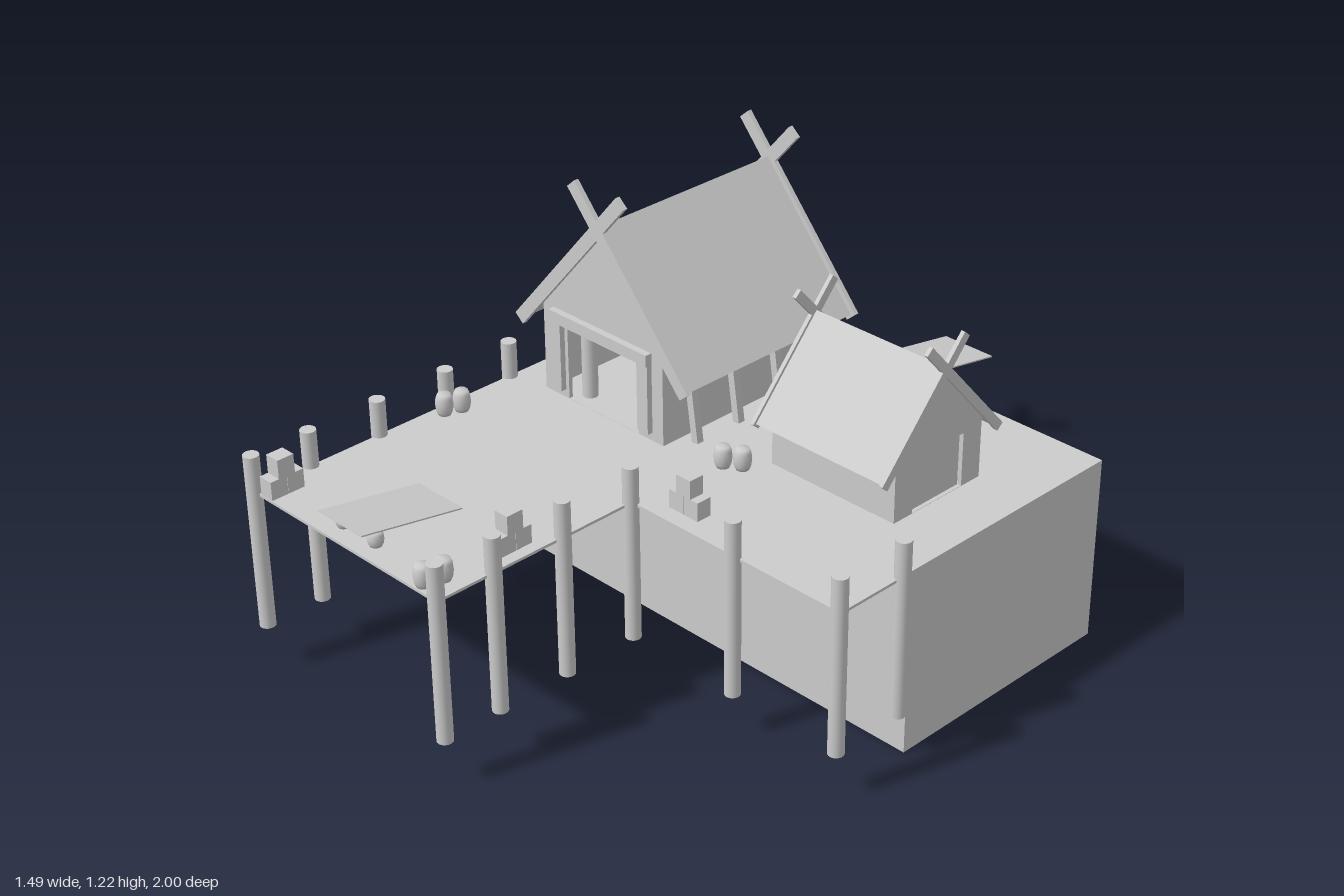
import * as THREE from 'three';

const mat = new THREE.MeshStandardMaterial({ color: 0xcccccc, side: THREE.DoubleSide });
const FLOOR = 0.547;

function add(parent, name, geo, x = 0, y = 0, z = 0) {
  const m = new THREE.Mesh(geo, mat);
  m.name = name;
  m.position.set(x, y, z);
  parent.add(m);
  return m;
}
const box = (w, h, d) => new THREE.BoxGeometry(w, h, d);

function outline(points) {
  return new THREE.Shape(points.map(([x, y]) => new THREE.Vector2(x, y)));
}
function extrude(shape, depth) {
  return new THREE.ExtrudeGeometry(shape, { depth, bevelEnabled: false });
}

// A straight board or pole between two points
function beam(parent, name, a, b, width, depth) {
  const va = new THREE.Vector3(...a), dir = new THREE.Vector3(...b).sub(va);
  const m = add(parent, name, box(width, dir.length(), depth));
  m.position.copy(va).addScaledVector(dir, 0.5);
  m.rotation.z = Math.atan2(-dir.x, dir.y);
  return m;
}

// Gabled house on y = 0 with its ridge along z
function house(name, o) {
  const g = new THREE.Group();
  g.name = name;
  const roofY = x => o.ridge - Math.abs(x) * o.slope;
  const t = 0.012, wallTop = roofY(o.wall) - t;

  // gable walls, with doorways where wanted
  for (const s of [1, -1]) {
    const gable = outline([[-o.wall, 0], [o.wall, 0], [o.wall, wallTop], [0, o.ridge - t], [-o.wall, wallTop]]);
    if (s > 0 || o.backDoor) {
      const d = o.doorHalf;
      gable.holes.push(outline([[-d, 0.001], [-d, o.doorH], [d, o.doorH], [d, 0.001]]));
    }
    add(g, 'gableWall', extrude(gable, t), 0, 0, s > 0 ? o.wallLen - t : -o.wallLen);
    add(g, 'sideWall', box(t, wallTop, 2 * o.wallLen), s * (o.wall - t / 2), wallTop / 2, 0);
  }

  // thin roof
  const e = o.eave, ey = roofY(e);
  const roof = outline([[-e, ey], [0, o.ridge], [e, ey], [e - t, ey - t * 0.4], [0, o.ridge - t * 1.5], [-e + t, ey - t * 0.4]]);
  add(g, 'roof', extrude(roof, 2 * o.roofLen), 0, 0, -o.roofLen);

  // crossed boards at both ends of the ridge
  for (const end of [1, -1]) for (const s of [1, -1]) {
    beam(g, 'crossedBoard',
      [-s * e, ey - 0.008, end * o.roofLen],
      [s * o.crossX, o.ridge - 0.008 + o.crossX * o.slope, end * o.roofLen], o.boardW, o.boardT);
  }
  return g;
}

// Lathed barrel standing on y = 0
function barrelGeometry(r, h) {
  const profile = [[0, 0], [0.72, 0], [0.92, 0.2], [1, 0.5], [0.92, 0.8], [0.72, 1], [0, 1]];
  return new THREE.LatheGeometry(profile.map(([x, y]) => new THREE.Vector2(x * r, y * h)), 16);
}

// Two crates with a third on top
function crateStack(parent, x, z, turn) {
  const g = new THREE.Group();
  g.name = 'crateStack';
  for (const [cx, cy] of [[-0.026, 0], [0.026, 0], [0, 0.054]]) {
    add(g, 'crate', box(0.051, 0.054, 0.046), cx, cy + 0.027, 0);
  }
  g.position.set(x, FLOOR, z);
  g.rotation.y = turn;
  parent.add(g);
}

// Sloping plank resting on two small kegs
function ramp(parent, x, y, z) {
  const g = new THREE.Group();
  g.name = 'plankRamp';
  const plank = add(g, 'plank', box(0.172, 0.004, 0.325), 0, 0.03, 0);
  plank.rotation.x = -Math.atan2(0.058, 0.32);
  for (const kx of [-0.06, 0.067]) add(g, 'keg', barrelGeometry(0.022, 0.042), kx, 0.001, 0.104);
  g.position.set(x, y, z);
  parent.add(g);
}

export function createModel() {
  const root = new THREE.Group();
  root.name = 'harbourSettlement';

  // quay block, hollow and open underneath
  const quay = new THREE.Group();
  quay.name = 'quayBlock';
  root.add(quay);
  const wallPlane = (w, x, z, ry) => {
    add(quay, 'quayWall', new THREE.PlaneGeometry(w, FLOOR), x, FLOOR / 2, z).rotation.y = ry;
  };
  wallPlane(1.447, -0.0015, 0.075, 0);
  wallPlane(1.447, -0.0015, -0.68, Math.PI);
  wallPlane(0.755, 0.722, -0.3025, Math.PI / 2);
  wallPlane(0.755, -0.725, -0.3025, -Math.PI / 2);
  add(quay, 'quayTop', new THREE.PlaneGeometry(1.447, 0.755), -0.0015, FLOOR, -0.3025).rotation.x = -Math.PI / 2;

  // L-shaped deck in front of the quay
  const deck = outline([[-0.725, -0.075], [0.722, -0.075], [0.722, -0.33], [0, -0.33], [0, -0.975], [-0.725, -0.975]]);
  add(root, 'deck', extrude(deck, 0.008), 0, FLOOR - 0.008, 0).rotation.x = -Math.PI / 2;

  // mooring posts around the deck
  const posts = [[0.365, 0.333], [0.722, 0.333], [0.722, 0.106], [-0.725, 0.106]];
  for (const z of [0.333, 0.566, 0.794, 0.975]) posts.push([0, z], [-0.725, z]);
  const postGeo = new THREE.CylinderGeometry(0.022, 0.022, 0.52, 20);
  for (const [x, z] of posts) add(root, 'mooringPost', postGeo, x, 0.395, z);

  // large hall
  const hall = house('largeHall', {
    wall: 0.23, eave: 0.32, ridge: 0.562, slope: 1.155, wallLen: 0.315, roofLen: 0.32,
    doorHalf: 0.137, doorH: 0.228, crossX: 0.092, boardW: 0.038, boardT: 0.014,
  });
  hall.position.set(-0.374, FLOOR, -0.237);
  root.add(hall);
  add(hall, 'doorLintel', box(0.376, 0.034, 0.02), 0, 0.245, 0.325);
  for (const s of [1, -1]) {
    add(hall, 'doorPost', box(0.04, 0.238, 0.02), s * 0.169, 0.143, 0.322);
    add(hall, 'doorColumn', new THREE.CylinderGeometry(0.022, 0.022, 0.24, 16), s * 0.112, 0.12, 0.26);
    // leaning side props
    for (const z of [-0.235, -0.08, 0.08, 0.235]) {
      beam(hall, 'sideProp', [s * 0.278, 0, z], [s * 0.24, 0.27, z], 0.022, 0.022);
    }
  }

  // small hut, ridge turned to run along x
  const hut = house('smallHut', {
    wall: 0.165, eave: 0.222, ridge: 0.388, slope: 1.12, wallLen: 0.212, roofLen: 0.222,
    doorHalf: 0.095, doorH: 0.157, backDoor: true, crossX: 0.07, boardW: 0.026, boardT: 0.012,
  });
  hut.position.set(0.333, FLOOR, -0.225);
  hut.rotation.y = Math.PI / 2;
  root.add(hut);
  for (const s of [1, -1]) add(hut, 'hutDoor', box(0.19, 0.157, 0.006), 0, 0.0785, s * 0.196);

  // barrels in pairs
  const barrelGeo = barrelGeometry(0.025, 0.062);
  const barrels = [[-0.67, 0.325], [-0.687, 0.372], [0.04, 0.04], [0.085, 0.013],
    [-0.06, 0.9], [-0.075, 0.953], [-0.257, -0.598], [-0.21, -0.59]];
  for (const [x, z] of barrels) add(root, 'barrel', barrelGeo, x, FLOOR, z);

  // crates
  crateStack(root, 0.138, 0.258, 0);
  crateStack(root, -0.057, 0.69, Math.PI / 2);
  crateStack(root, -0.674, 0.922, Math.PI / 2);

  // loading planks on the deck and behind the quay
  ramp(root, -0.365, FLOOR, 0.816);
  ramp(root, 0, 0.49, -0.84);

  return root;
}
